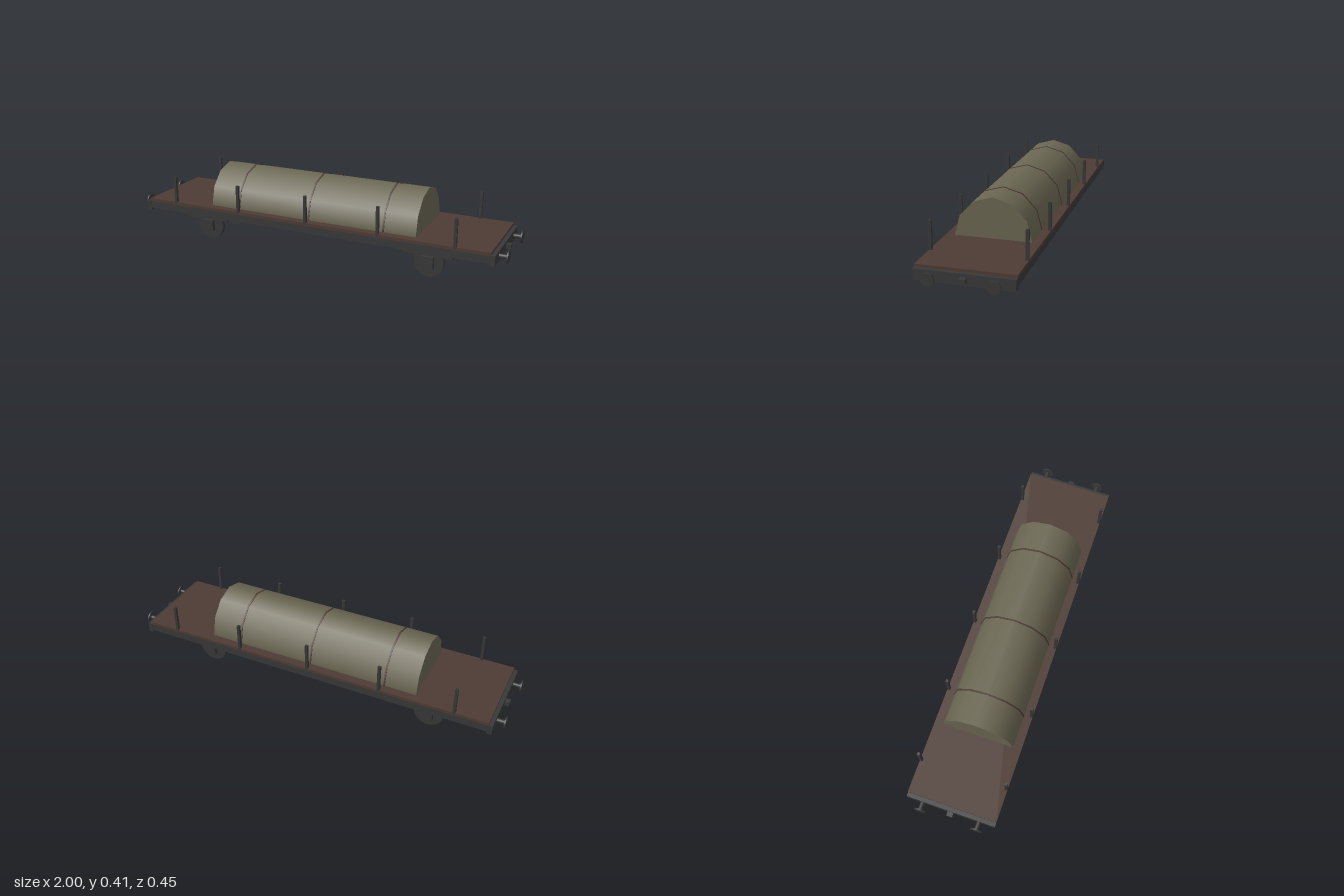
import * as THREE from 'three';

export function createModel() {
  const wagon = new THREE.Group();
  wagon.name = 'flatWagon';

  const material = (name, color) => {
    const m = new THREE.MeshStandardMaterial({ color });
    m.name = name;
    return m;
  };
  const iron = material('darkIron', 0x383838);
  const wood = material('brownWood', 0x4e3b34);
  const canvas = material('oliveCanvas', 0x6a6652);

  const add = (name, geometry, mat, x, y, z) => {
    const mesh = new THREE.Mesh(geometry, mat);
    mesh.name = name;
    mesh.position.set(x, y, z);
    wagon.add(mesh);
    return mesh;
  };
  const box = (name, mat, w, h, d, x, y, z) =>
    add(name, new THREE.BoxGeometry(w, h, d), mat, x, y, z);
  const discX = (name, r, length, x, y, z) =>
    add(name, new THREE.CylinderGeometry(r, r, length, 20).rotateZ(Math.PI / 2), iron, x, y, z);
  const discZ = (name, r, length, x, y, z) =>
    add(name, new THREE.CylinderGeometry(r, r, length, 24).rotateX(Math.PI / 2), iron, x, y, z);

  // Underframe and plank deck
  box('underframe', iron, 1.87, 0.04, 0.45, 0, 0.176, 0);
  box('deck', wood, 1.87, 0.015, 0.454, 0, 0.2025, 0);

  // Half-round bundle along x: six facets, smoothly shaded, flat underneath
  const arch = (length, height, halfWidth) =>
    new THREE.CylinderGeometry(1, 1, length, 6, 1, false, 0, Math.PI)
      .rotateZ(Math.PI / 2)
      .scale(1, height, halfWidth);
  add('coveredLoad', arch(1.13, 0.196, 0.184), canvas, 0, 0.21, 0);
  for (const x of [-0.4, 0, 0.4]) {
    add('strap', arch(0.008, 0.1985, 0.1865), wood, x, 0.21, 0);
  }

  for (const side of [-1, 1]) {
    // Side stakes
    for (const x of [-0.767, -0.385, 0, 0.385, 0.767]) {
      box('stake', iron, 0.014, 0.147, 0.0145, x, 0.2745, side * 0.22);
    }

    // Wheels with hubs, axle boxes and springs
    for (const x of [-0.617, 0.617]) {
      discZ('wheel', 0.075, 0.02, x, 0.075, side * 0.12);
      discZ('hub', 0.0175, 0.008, x, 0.0775, side * 0.133);
      box('axleBox', iron, 0.06, 0.06, 0.02, x, 0.081, side * 0.15);
      box('spring', iron, 0.246, 0.016, 0.02, x, 0.126, side * 0.15);
    }

    // End beam, coupling and buffers
    box('endBeam', iron, 0.024, 0.052, 0.454, side * 0.943, 0.171, 0);
    box('coupling', iron, 0.024, 0.022, 0.03, side * 0.966, 0.171, 0);
    for (const z of [-0.145, 0.145]) {
      discX('bufferShaft', 0.011, 0.042, side * 0.974, 0.172, z);
      discX('bufferHead', 0.03, 0.007, side * 0.9965, 0.172, z);
    }
  }

  return wagon;
}
